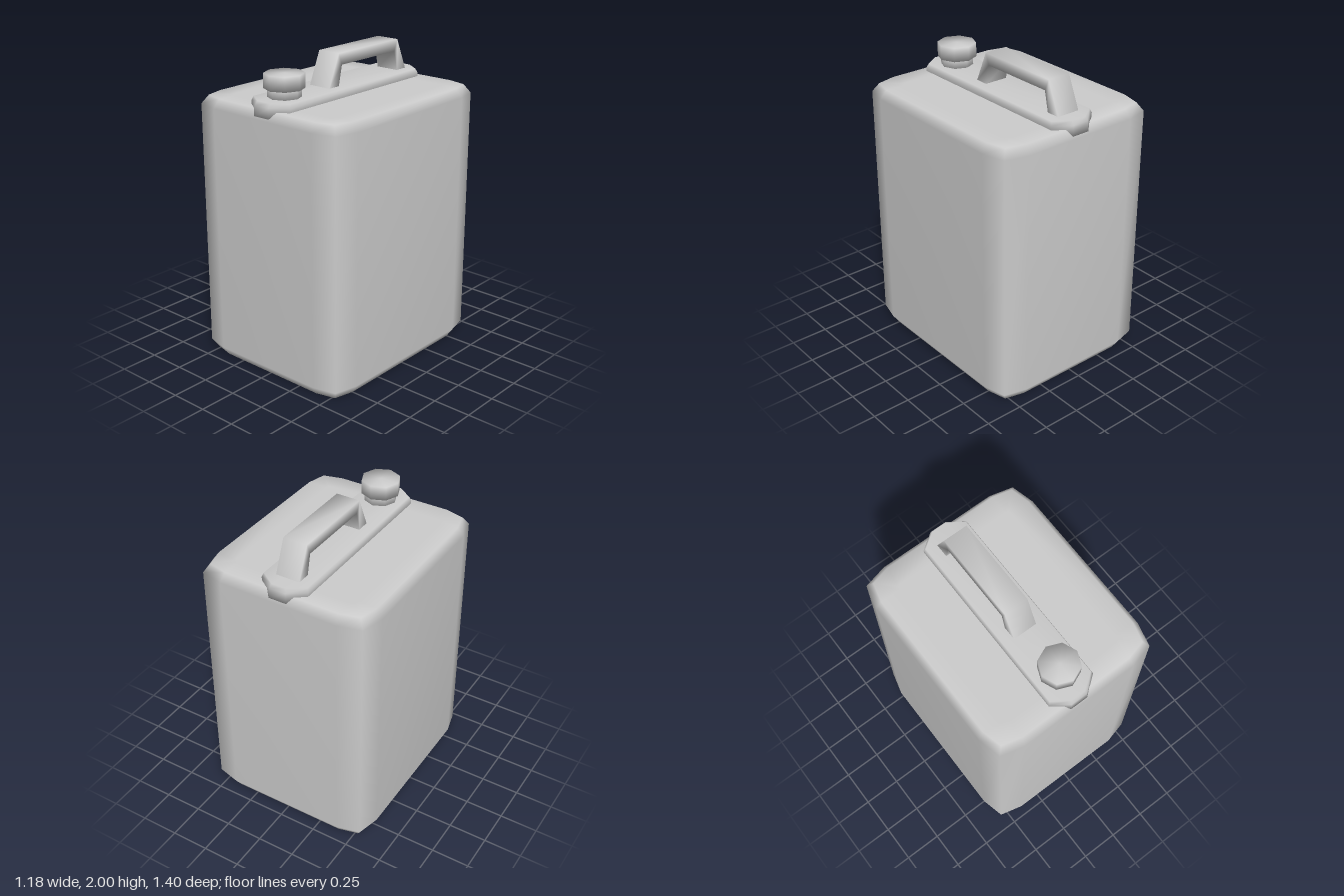
import * as THREE from 'three';

const material = new THREE.MeshStandardMaterial({ color: 0xcccccc });

// Smooth skin over a stack of equally sized rings of [x, y, z], with optional end caps.
function loft(name, rings, capped = true) {
  const n = rings[0].length;
  const positions = rings.flat(2);
  const index = [];
  for (let r = 0; r < rings.length - 1; r++) {
    for (let i = 0; i < n; i++) {
      const a = r * n + i, b = r * n + (i + 1) % n;
      index.push(a, a + n, b, b, a + n, b + n);
    }
  }
  if (capped) {
    const last = rings.length - 1;
    for (const r of [0, last]) {
      const centre = positions.length / 3;
      for (let k = 0; k < 3; k++) {
        positions.push(rings[r].reduce((sum, p) => sum + p[k], 0) / n);
      }
      for (let i = 0; i < n; i++) {
        const a = r * n + i, b = r * n + (i + 1) % n;
        if (r === last) index.push(centre, b, a);
        else index.push(centre, a, b);
      }
    }
  }
  const geometry = new THREE.BufferGeometry();
  geometry.setAttribute('position', new THREE.Float32BufferAttribute(positions, 3));
  geometry.setIndex(index);
  geometry.computeVertexNormals();
  const mesh = new THREE.Mesh(geometry, material);
  mesh.name = name;
  return mesh;
}

// Mirrors one corner (points running from the x side to the z side) into a full ring.
function mirroredRing(corner, y) {
  const back = [...corner].reverse();
  return [
    ...corner.map(([x, z]) => [x, y, z]),
    ...back.map(([x, z]) => [-x, y, z]),
    ...corner.map(([x, z]) => [-x, y, -z]),
    ...back.map(([x, z]) => [x, y, -z]),
  ];
}

function roundedRing(hx, hz, radius, y) {
  const mid = radius * 0.2;
  return mirroredRing([[hx, hz - radius], [hx - mid, hz - mid], [hx - radius, hz]], y);
}

function octagonRing(radius, y) {
  return Array.from({ length: 8 }, (_, i) => {
    const angle = i * Math.PI / 4;
    return [radius * Math.cos(angle), y, radius * Math.sin(angle)];
  });
}

export function createModel() {
  const model = new THREE.Group();
  model.name = 'jerrycan';

  // Tank with chamfered top and bottom rims
  model.add(loft('tank', [
    roundedRing(0.42, 0.53, 0.03, 0),
    roundedRing(0.55, 0.66, 0.16, 0),
    roundedRing(0.59, 0.70, 0.19, 0.06),
    roundedRing(0.59, 0.70, 0.19, 1.69),
    roundedRing(0.55, 0.66, 0.16, 1.745),
    roundedRing(0.42, 0.53, 0.03, 1.745),
  ]));

  // Raised spine along the top, pointed at both ends
  model.add(loft('topSpine', [
    mirroredRing([[0.16, 0.61], [0.06, 0.69]], 1.70),
    mirroredRing([[0.16, 0.61], [0.055, 0.685]], 1.77),
    mirroredRing([[0.15, 0.60], [0.05, 0.67]], 1.795),
  ]));

  // Handle: rectangular section swept over a trapezoid, [outer z, outer y, inner z, inner y]
  const stations = [
    [0.18, 1.79, 0.09, 1.79],
    [0.09, 2.0, 0.06, 1.925],
    [-0.49, 2.0, -0.46, 1.925],
    [-0.58, 1.79, -0.49, 1.79],
  ];
  const w = 0.08;
  model.add(loft('handle', stations.map(([oz, oy, iz, iy]) => [
    [w, iy, iz], [w, oy, oz], [-w, oy, oz], [-w, iy, iz],
  ]), false));

  // Spout neck and screw cap
  const spout = new THREE.Group();
  spout.name = 'spout';
  spout.position.z = 0.49;
  spout.add(loft('neck', [octagonRing(0.105, 1.78), octagonRing(0.105, 1.86)]));
  spout.add(loft('cap', [octagonRing(0.126, 1.848), octagonRing(0.126, 1.94)]));
  model.add(spout);

  return model;
}
